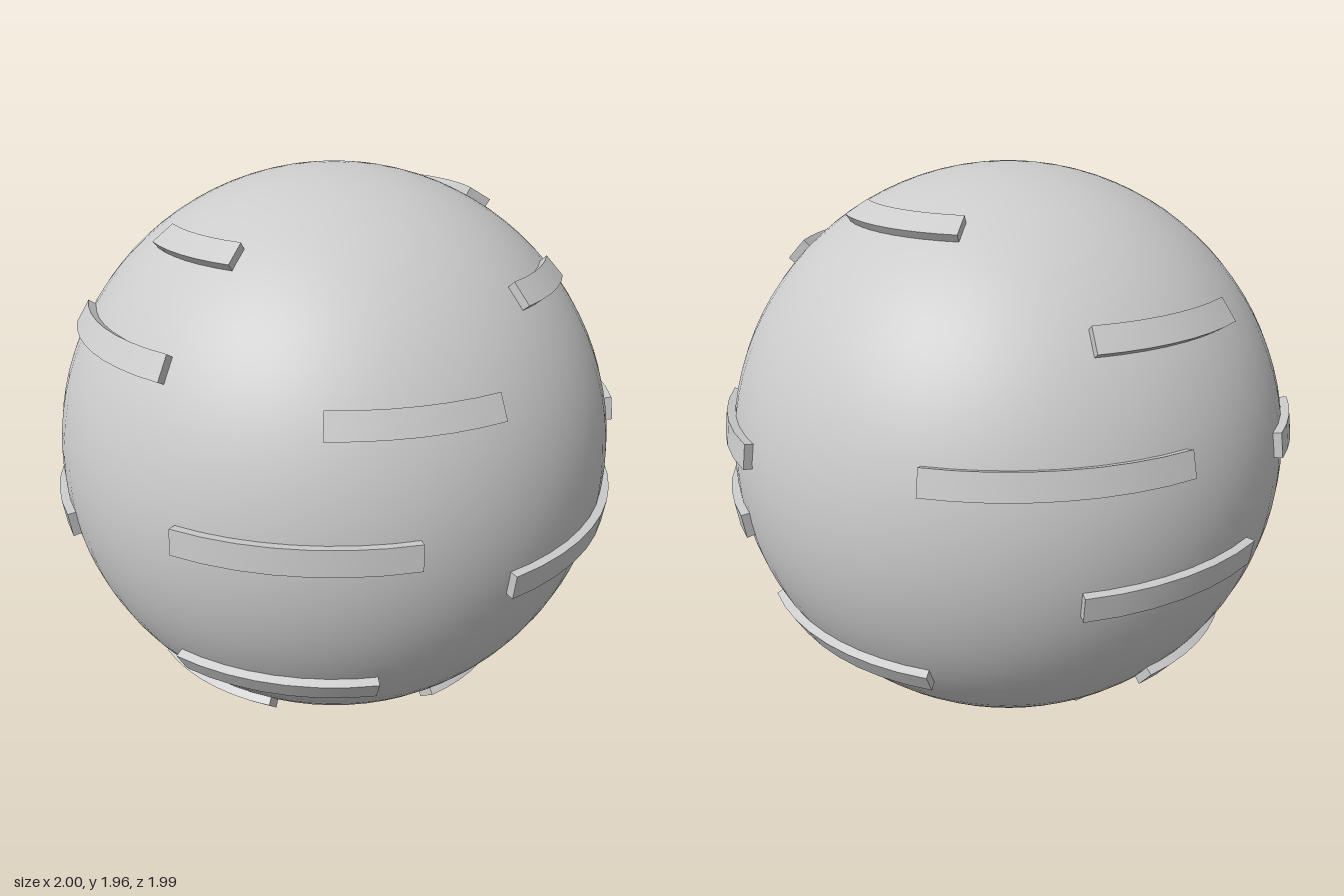
import * as THREE from 'three';

const R = 0.98;        // ball radius
const OUTER = 1.008;   // top surface of the raised bars
const INNER = 0.96;    // bars are sunk slightly into the ball
const BAND = 4.9;      // bar height in degrees of latitude

// Bars: [latitude, start longitude, end longitude] in degrees; longitude 0 faces +z, 90 faces +x
const BARS = [
  [59, 109, 164], [53.5, -58, -22], [42.3, 56, 85], [36.4, -163.5, -124],
  [31.2, -73, -28], [25.3, 5, 39], [14, 164.5, 212.5], [8.4, -118, -97],
  [8.4, 90.5, 123], [3, -21.5, 21.5], [-7.8, 40, 118], [-7.8, -85, -56],
  [-8.5, -168, -129.5], [-29.8, 113, 163], [-29.8, -28, 16], [-38.5, -145, -101],
  [-47, -52, -11], [-52, 39, 85], [-63.4, -150, -92],
];

// Bend a box so x becomes longitude, y latitude and z radius
function curvedBar(lat, from, to) {
  const segments = Math.max(4, Math.round((to - from) / 6));
  const geo = new THREE.BoxGeometry(1, 1, 1, segments, 1, 1);
  const pos = geo.attributes.position;
  for (let i = 0; i < pos.count; i++) {
    const lon = THREE.MathUtils.degToRad(from + (to - from) * (pos.getX(i) + 0.5));
    const phi = THREE.MathUtils.degToRad(lat + BAND * pos.getY(i));
    const r = pos.getZ(i) > 0 ? OUTER : INNER;
    pos.setXYZ(i, r * Math.cos(phi) * Math.sin(lon), r * Math.sin(phi), r * Math.cos(phi) * Math.cos(lon));
  }
  geo.computeVertexNormals();
  return geo;
}

export function createModel() {
  const model = new THREE.Group();
  model.name = 'barredBall';
  const material = new THREE.MeshStandardMaterial({ color: 0xcccccc });

  // Smooth ball standing on the ground
  const ball = new THREE.Mesh(new THREE.SphereGeometry(R, 64, 48), material);
  ball.name = 'ball';
  ball.position.y = R;
  model.add(ball);

  // Raised bars following lines of latitude
  const bars = new THREE.Group();
  bars.name = 'raisedBars';
  bars.position.y = R;
  BARS.forEach(([lat, from, to], i) => {
    const bar = new THREE.Mesh(curvedBar(lat, from, to), material);
    bar.name = `raisedBar${i + 1}`;
    bars.add(bar);
  });
  model.add(bars);

  return model;
}
